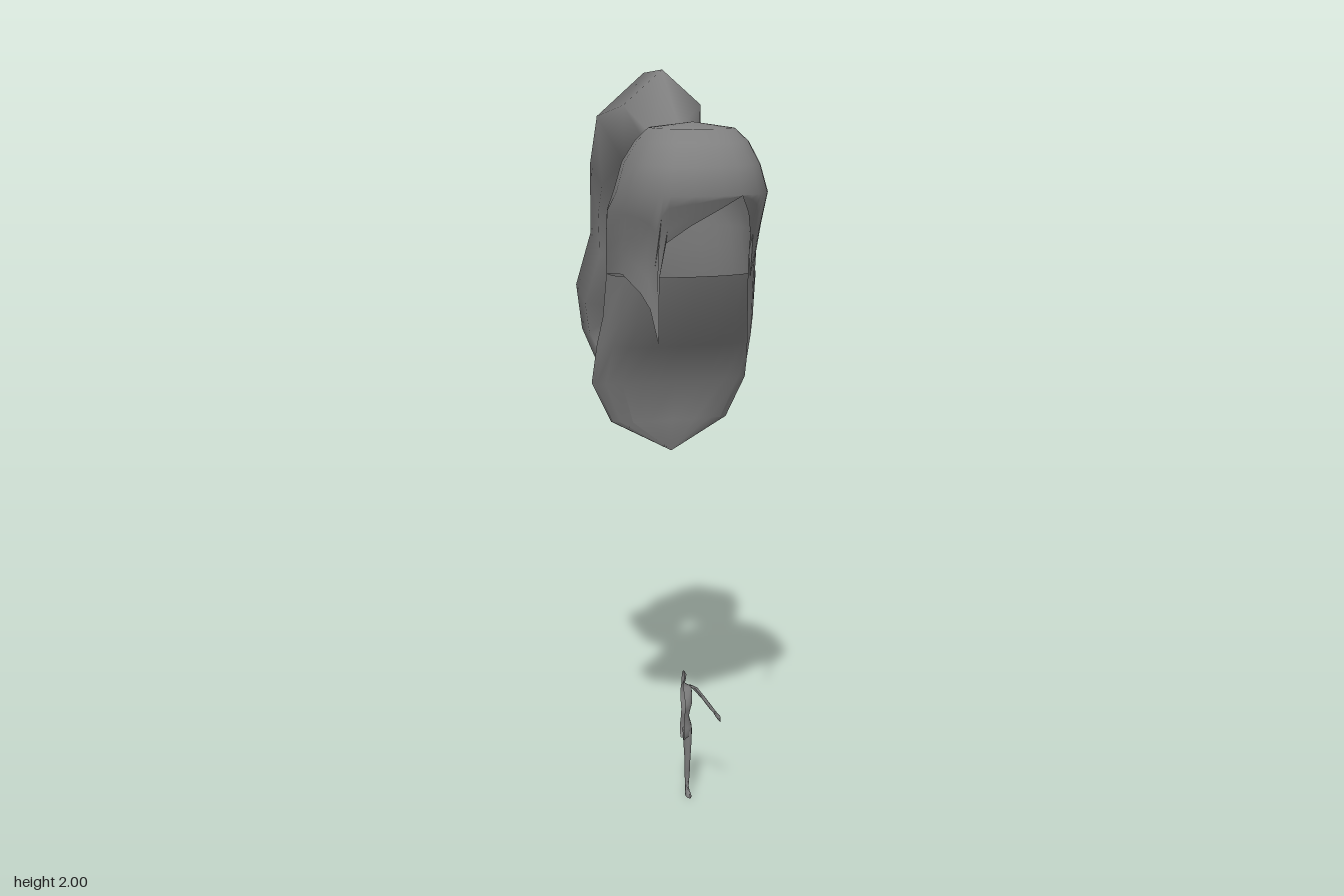
import * as THREE from 'three';
import { toCreasedNormals } from 'three/addons/utils/BufferGeometryUtils.js';

const grey = new THREE.MeshStandardMaterial({ color: 0x808080, side: THREE.DoubleSide });
grey.name = 'plain grey';

// Skin a list of equal-length point rows; closed joins each row's ends, null points leave a gap
function loft(rows, closed = true, crease = 1.2) {
  const n = rows[0].length, index = [], all = rows.flat();
  for (let i = 0; i < rows.length - 1; i++) {
    for (let j = 0; j < (closed ? n : n - 1); j++) {
      const k = (j + 1) % n;
      const a = i * n + j, b = i * n + k, c = a + n, d = b + n;
      if (all[c] && all[d]) index.push(a, c, b, b, c, d);
    }
  }
  const geo = new THREE.BufferGeometry();
  geo.setAttribute('position',
    new THREE.Float32BufferAttribute(all.flatMap(p => p ?? [0, 0, 0]), 3));
  geo.setIndex(index);
  return toCreasedNormals(geo, crease);
}

function part(name, geo) {
  const mesh = new THREE.Mesh(geo, grey);
  mesh.name = name;
  return mesh;
}

// Rounded-box outline point at an angle in degrees (0 = front)
const pw = v => Math.sign(v) * Math.abs(v) ** 0.85;
function outline([y, cx, w, zBack, zFront], deg) {
  const t = deg * Math.PI / 180;
  return [cx + w * pw(Math.sin(t)), y,
    (zBack + zFront) / 2 + (zFront - zBack) / 2 * pw(Math.cos(t))];
}

// Hair outlines: y, centre x, half width, back z, front z
const BROW = [1.70, -0.015, 0.187, 0.047, 0.487];
const CROWN = [
  [1.872, -0.01, 0.001, 0.27, 0.272], [1.857, -0.01, 0.105, 0.14, 0.38],
  [1.825, -0.013, 0.137, 0.105, 0.435], [1.77, -0.015, 0.168, 0.07, 0.465], BROW,
];
const NAPE = [
  [1.645, -0.015, 0.193, 0.046, 0.32], [1.59, -0.013, 0.196, 0.044, 0.305],
  [1.535, -0.01, 0.198, 0.04, 0.295], [1.48, -0.005, 0.2, 0.035, 0.28],
  [1.36, 0, 0.205, 0.01, 0.22], [1.28, 0, 0.212, -0.01, 0.155],
  [1.17, 0, 0.218, -0.02, 0.085], [1.06, 0, 0.165, 0, 0.06],
  [0.975, 0, 0.001, 0.049, 0.051],
];
const EDGE = 95, FRINGE_ROWS = 4;

// Crown, fringe with two pointed locks, and the long back, as one smooth shell
function hairShell() {
  const hem = [ // angle, lower edge height
    [-76, 1.49], [-66, 1.47], [-57, 1.45], [-48, 1.41], [-42, 1.32], [-38, 1.49], [-32, 1.58],
    [-14, 1.625], [4, 1.67], [18, 1.699], [28, 1.655], [37, 1.6], [42, 1.5], [48, 1.27],
    [58, 1.33], [67, 1.38], [76, 1.46],
  ];
  const back = [EDGE, 110, 125, 140, 155, 170, 190, 205, 220, 235, 250, 360 - EDGE];
  const columns = [...hem, ...back.map(deg => [deg, null])];
  const rows = CROWN.map(ring => columns.map(([deg]) => outline(ring, deg)));
  NAPE.forEach((ring, i) => rows.push(columns.map(([deg, low]) => {
    if (low === null) return outline(ring, deg);
    if (i >= FRINGE_ROWS) return null;
    const drop = (BROW[0] - low) * (i + 1) / FRINGE_ROWS;
    const c = Math.cos(deg * Math.PI / 180), p = outline(BROW, deg);
    return [p[0] * (1 - Math.min(0.2, drop * 0.5) * c), p[1] - drop,
      p[2] - Math.min(0.075, drop * 0.5)];
  })));
  return loft(rows);
}

// Front of the back hair, ending in a lip below the hollow crown
function hairFront() {
  const angles = Array.from({ length: 11 }, (_, j) => EDGE * (j / 5 - 1));
  return loft(NAPE.slice(FRINGE_ROWS - 1).map(ring =>
    angles.map(deg => outline(ring, deg))), false, 0.8);
}

// Arching ponytail with a ridged back that curls forward at its end
function ponytail() {
  const sections = [ // inner z, y, outer z, y, centre x, half width
    [0.08, 1.77, 0.14, 1.85, -0.005, 0.06], [-0.02, 1.72, -0.02, 2.0, -0.005, 0.108],
    [-0.12, 1.64, -0.22, 1.99, 0, 0.143], [-0.16, 1.57, -0.33, 1.82, -0.01, 0.132],
    [-0.2, 1.47, -0.39, 1.58, -0.03, 0.098], [-0.275, 1.33, -0.48, 1.41, -0.047, 0.105],
    [-0.32, 1.25, -0.49, 1.25, -0.045, 0.085], [-0.285, 1.18, -0.355, 1.10, -0.035, 0.06],
    [-0.24, 1.185, -0.22, 1.14, -0.035, 0.038], [-0.2, 1.21, -0.2, 1.208, -0.035, 0.001],
  ];
  const n = 6;
  return loft(sections.map(([zi, yi, zo, yo, cx, w]) => Array.from({ length: n }, (_, j) => {
    const t = j / n * Math.PI * 2, k = ((1 + Math.cos(t)) / 2) ** 1.4;
    return [cx - w * Math.sin(t) / 0.866, yi + (yo - yi) * k, zi + (zo - zi) * k];
  })), true, 1.9);
}

// Small half figure: head and torso, open along the middle
function torso() {
  const rings = [ // y, centre z, half depth, width
    [0.376, 0.170, 0.004, 0.002], [0.366, 0.167, 0.011, 0.009], [0.35, 0.163, 0.010, 0.008],
    [0.337, 0.159, 0.006, 0.007], [0.326, 0.157, 0.011, 0.027], [0.305, 0.160, 0.019, 0.028],
    [0.283, 0.166, 0.023, 0.026], [0.26, 0.167, 0.017, 0.02], [0.242, 0.163, 0.014, 0.018],
    [0.21, 0.158, 0.02, 0.028], [0.185, 0.157, 0.02, 0.029], [0.172, 0.156, 0.01, 0.012],
  ];
  return loft(rings.map(([y, z, d, w]) => Array.from({ length: 7 }, (_, j) => {
    const t = j / 6 * Math.PI;
    return [w * Math.sin(t), y, z + d * Math.cos(t)];
  })), false);
}

// Limb from oval rings stacked downwards
function limb(rings, n = 8) {
  return loft(rings.map(([x, y, z, w, d]) => Array.from({ length: n }, (_, j) => {
    const t = j / n * Math.PI * 2;
    return [x + w * Math.sin(t), y, z + d * Math.cos(t)];
  })));
}

export function createModel() {
  const model = new THREE.Group();
  model.name = 'hairAndFigure';

  const hair = new THREE.Group();
  hair.name = 'hair';
  hair.add(part('crownFringeAndBack', hairShell()), part('innerFront', hairFront()),
    part('ponytail', ponytail()));

  const figure = new THREE.Group();
  figure.name = 'halfFigure';
  figure.add(
    part('headAndTorso', torso()),
    part('leg', limb([ // x, y, z, half width, half depth
      [0.015, 0.2, 0.156, 0.013, 0.019], [0.016, 0.15, 0.157, 0.011, 0.015],
      [0.016, 0.105, 0.157, 0.008, 0.011], [0.017, 0.075, 0.151, 0.008, 0.011],
      [0.018, 0.025, 0.147, 0.005, 0.006], [0.018, 0.014, 0.152, 0.006, 0.011],
      [0.018, 0.006, 0.159, 0.008, 0.017], [0.018, 0, 0.159, 0.007, 0.018],
      [0.018, 0, 0.159, 0.0005, 0.001]])),
    part('arm', limb([
      [0.022, 0.328, 0.157, 0.006, 0.005], [0.036, 0.319, 0.157, 0.008, 0.008],
      [0.062, 0.287, 0.156, 0.006, 0.006], [0.088, 0.25, 0.159, 0.006, 0.006],
      [0.096, 0.24, 0.161, 0.005, 0.004], [0.104, 0.228, 0.163, 0.007, 0.007],
      [0.109, 0.214, 0.165, 0.001, 0.002]])),
  );

  model.add(hair, figure);
  return model;
}
